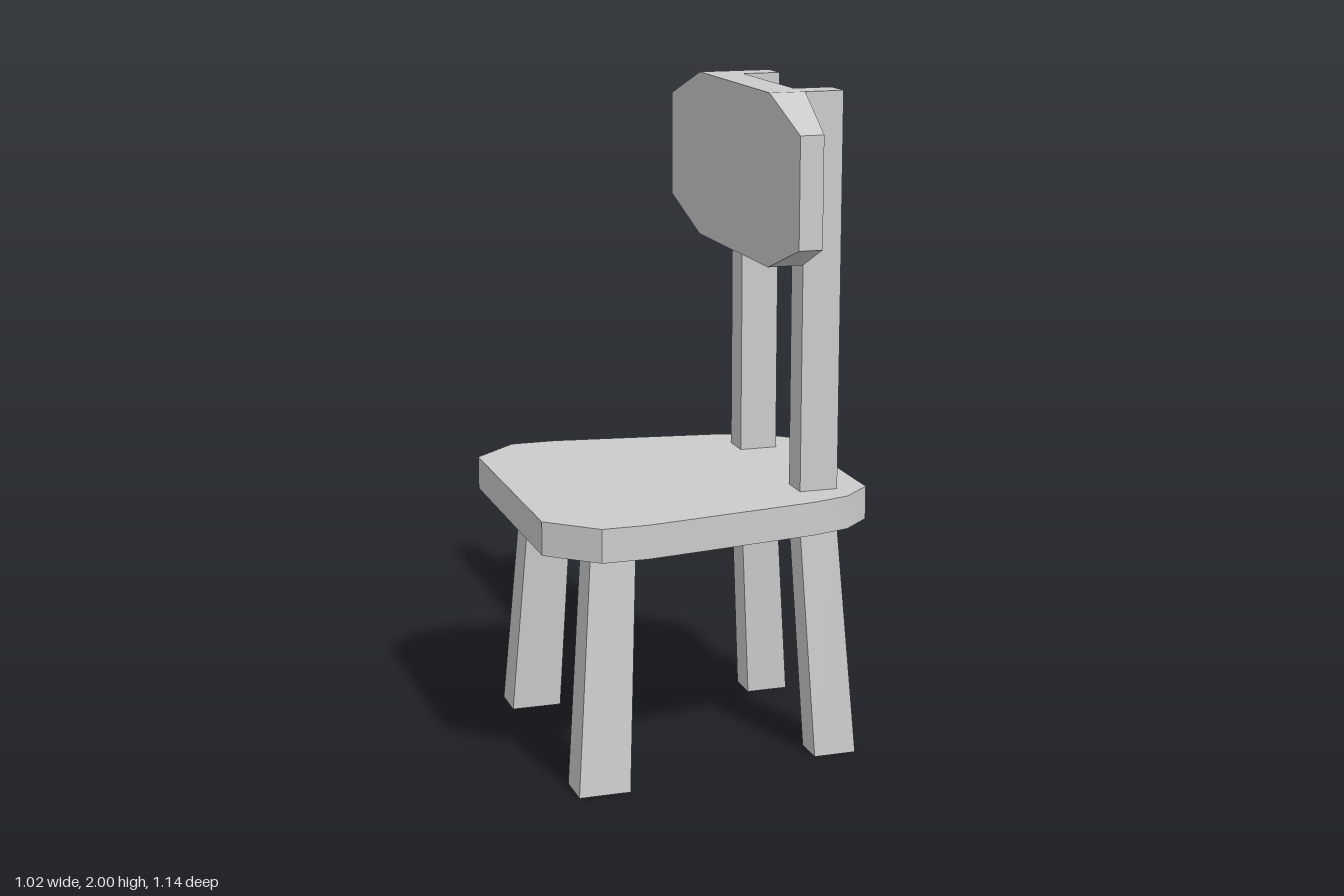
import * as THREE from 'three';
import { toCreasedNormals } from 'three/addons/utils/BufferGeometryUtils.js';

const material = new THREE.MeshStandardMaterial({ color: 0xcccccc });
const flat = new THREE.MeshStandardMaterial({ color: 0xcccccc, flatShading: true });

// Adds a part, named by its place on the chair
function add(group, name, geometry, mat = flat) {
  const mesh = new THREE.Mesh(geometry, mat);
  mesh.name = name;
  group.add(mesh);
}

// Moves every vertex of a geometry by a rule
function reshape(geometry, rule) {
  const p = geometry.attributes.position;
  const v = new THREE.Vector3();
  for (let i = 0; i < p.count; i++) {
    rule(v.fromBufferAttribute(p, i));
    p.setXYZ(i, v.x, v.y, v.z);
  }
  geometry.computeVertexNormals();
  return geometry;
}

// Four-sided bar between two rectangles [x0, x1, z0, z1], mirrored by side
function bar(y0, y1, bottom, top, side) {
  return reshape(new THREE.BoxGeometry(1, 1, 1), (v) => {
    const r = v.y > 0 ? top : bottom;
    const outer = v.z * side > 0;
    v.set(v.x > 0 ? r[1] : r[0], v.y > 0 ? y1 : y0, side * (outer ? r[3] : r[2]));
  });
}

export function createModel() {
  const chair = new THREE.Group();
  chair.name = 'chair';

  // Seat: half outline mirrored across z, extruded upward
  const half = [[-0.51, 0.38], [-0.37, 0.506], [-0.23, 0.506], [0.3, 0.427], [0.415, 0.393], [0.506, 0.31]];
  const outline = [...half, ...half.map(([x, z]) => [x, -z]).reverse()];
  const shape = new THREE.Shape(outline.map(([x, z]) => new THREE.Vector2(x, z)));
  const seat = new THREE.ExtrudeGeometry(shape, { depth: 0.1, bevelEnabled: false });
  seat.rotateX(-Math.PI / 2).translate(0, 0.722, 0);
  add(chair, 'seat', toCreasedNormals(seat, Math.PI / 6), material);

  // Splayed legs and straight back posts
  for (const side of [1, -1]) {
    const label = side > 0 ? 'Left' : 'Right';
    add(chair, 'frontLeg' + label, bar(0, 0.722, [-0.425, -0.27, 0.325, 0.445], [-0.37, -0.235, 0.285, 0.39], side));
    add(chair, 'backLeg' + label, bar(0, 0.722, [0.34, 0.47, 0.248, 0.35], [0.298, 0.415, 0.215, 0.308], side));
    const post = [0.298, 0.415, 0.215, 0.308];
    add(chair, 'backPost' + label, bar(0.822, 2, post, post, side));
  }

  // Backrest: straight middle with wings tapering in height and thickness
  const backrest = reshape(new THREE.BoxGeometry(1, 1, 3, 1, 1, 3), (v) => {
    const tip = Math.abs(v.z) > 1;
    const x = v.x > 0 ? (tip ? 0.255 : 0.298) : (tip ? 0.185 : 0.19);
    const y = 1.75 + Math.sign(v.y) * (tip ? 0.16 : 0.25);
    v.set(x, y, Math.sign(v.z) * (tip ? 0.57 : 0.308));
  });
  add(chair, 'backrest', backrest);

  return chair;
}
